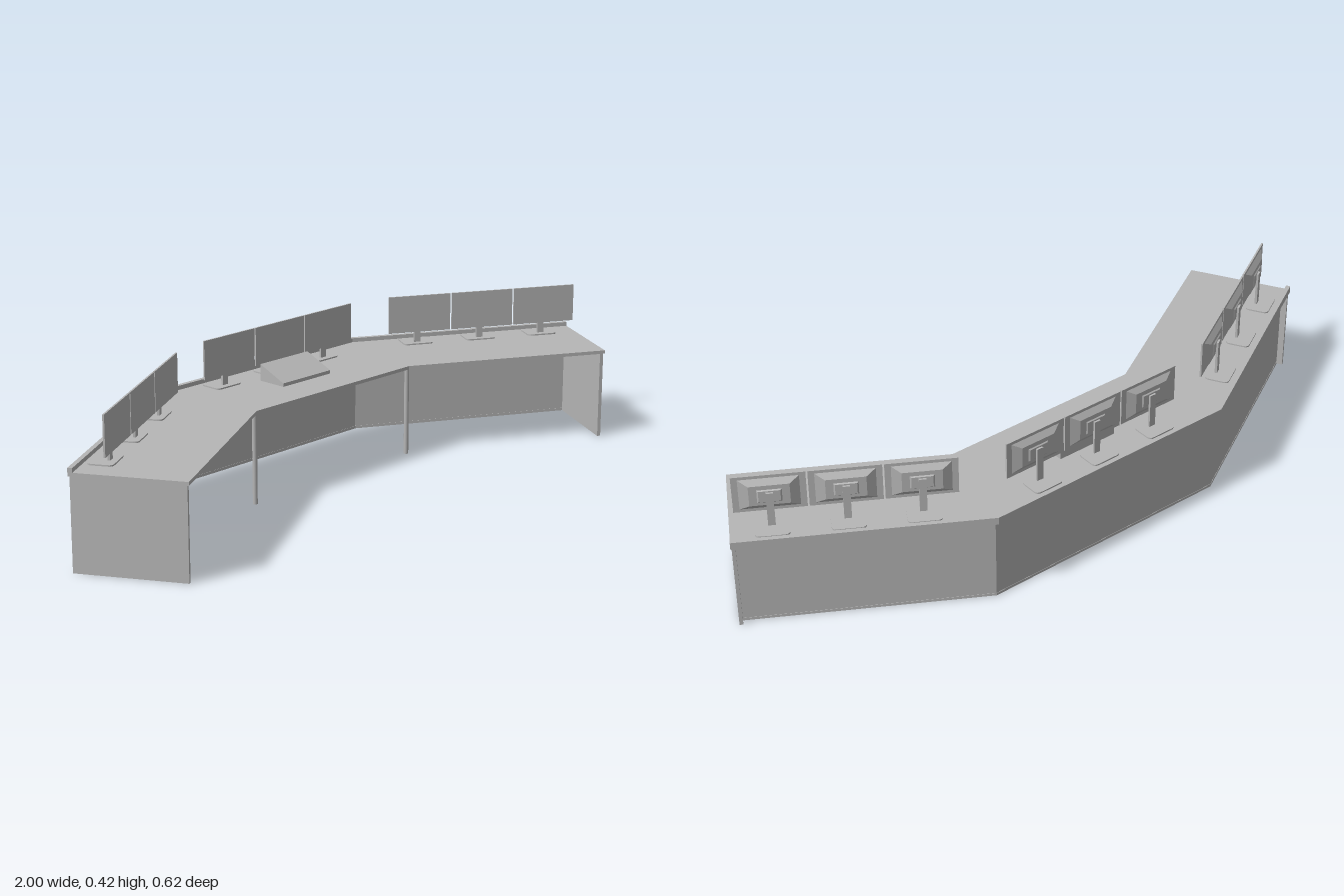
import * as THREE from 'three';

const ANGLE = Math.PI / 6, C = Math.cos(ANGLE), S = Math.sin(ANGLE), T = Math.tan(ANGLE / 2);
const HALF = 0.31, WING = 0.615;
const grey = new THREE.MeshStandardMaterial({ color: 0xb6b6b6 });
grey.name = 'plain grey';

function add(parent, name, geometry, x = 0, y = 0, z = 0) {
  const mesh = new THREE.Mesh(geometry, grey);
  mesh.name = name;
  mesh.position.set(x, y, z);
  parent.add(mesh);
  return mesh;
}

// Point on the wing's end: d = distance behind the front edge, e = inset along the wing
const wingEnd = (d, e) => [HALF + (WING - e) * C + S * d, -(WING - e) * S + C * d];

// Three-section angled strip between two depths, raised from y0 to y1
function band(d0, d1, y0, y1, e = 0) {
  const half = d => [[HALF + d * T, d], wingEnd(d, e)];
  const mirror = p => [-p[0], p[1]];
  const [a, b] = half(d0), [c, d] = half(d1);
  const pts = [mirror(b), mirror(a), a, b, d, c, mirror(c), mirror(d)];
  const shape = new THREE.Shape(pts.map(p => new THREE.Vector2(...p)));
  return new THREE.ExtrudeGeometry(shape, { depth: y1 - y0, bevelEnabled: false })
    .rotateX(-Math.PI / 2).translate(0, y0, 0);
}

// Tapered block whose back (-z) face is narrower than its front
function frustum(w, h, depth, backW, backH) {
  const g = new THREE.BoxGeometry(w, h, depth).toNonIndexed();
  const p = g.attributes.position;
  for (let i = 0; i < p.count; i++) {
    if (p.getZ(i) < 0) p.setXY(i, p.getX(i) * backW / w, p.getY(i) * backH / h);
  }
  g.computeVertexNormals();
  return g;
}

function roundedPlate(w, d, h, r) {
  const x = w / 2, y = d / 2, s = new THREE.Shape();
  s.moveTo(-x + r, -y);
  s.lineTo(x - r, -y).quadraticCurveTo(x, -y, x, -y + r);
  s.lineTo(x, y - r).quadraticCurveTo(x, y, x - r, y);
  s.lineTo(-x + r, y).quadraticCurveTo(-x, y, -x, y - r);
  s.lineTo(-x, -y + r).quadraticCurveTo(-x, -y, -x + r, -y);
  return new THREE.ExtrudeGeometry(s, { depth: h, bevelEnabled: false, curveSegments: 4 }).rotateX(-Math.PI / 2);
}

function monitor(x) {
  const g = new THREE.Group();
  g.name = 'monitor';
  g.position.x = x;
  add(g, 'screen', new THREE.BoxGeometry(0.194, 0.112, 0.005), 0, 0.364, -0.0025);
  add(g, 'backHousing', frustum(0.16, 0.094, 0.012, 0.108, 0.062), 0, 0.364, -0.011);
  add(g, 'mountPlate', frustum(0.066, 0.04, 0.003, 0.058, 0.034), 0, 0.362, -0.0185);
  add(g, 'standPole', new THREE.BoxGeometry(0.02, 0.107, 0.007), 0, 0.3215, -0.0225);
  add(g, 'standBase', roundedPlate(0.092, 0.07, 0.004, 0.014), 0, 0.268, -0.035);
  return g;
}

function monitorRow(name, x, z, turn) {
  const g = new THREE.Group();
  g.name = name;
  g.position.set(x, 0, z);
  g.rotation.y = turn;
  for (const i of [-1, 0, 1]) g.add(monitor(i * 0.199));
  return g;
}

export function createModel() {
  const model = new THREE.Group();
  model.name = 'controlDesk';

  // Worktop, raised back rim, back panel and floor rail
  add(model, 'worktop', band(0, 0.302, 0.258, 0.268));
  add(model, 'backRim', band(0.302, 0.315, 0.258, 0.28));
  add(model, 'backPanel', band(0.285, 0.293, 0.008, 0.258, 0.012));
  add(model, 'floorRail', band(0.284, 0.294, 0, 0.008, 0.012));

  // End panels and front legs
  for (const side of [-1, 1]) {
    const [x, s] = wingEnd(0.158, 0.008);
    const panel = add(model, 'endPanel', new THREE.BoxGeometry(0.01, 0.258, 0.306), side * x, 0.129, -s);
    panel.rotation.y = -side * ANGLE;
    add(model, 'frontLeg', new THREE.CylinderGeometry(0.007, 0.007, 0.258, 12), side * HALF, 0.129, -0.009);
  }

  // Three rows of monitors
  model.add(monitorRow('centreMonitors', 0, -0.219, 0));
  model.add(monitorRow('leftMonitors', 0.683, -0.038, -ANGLE));
  model.add(monitorRow('rightMonitors', -0.683, -0.038, ANGLE));

  // Sloped console on the centre desk
  const wedge = new THREE.Shape([[0.112, 0.268], [0.203, 0.268], [0.203, 0.317], [0.112, 0.278]]
    .map(p => new THREE.Vector2(...p)));
  const console3 = new THREE.ExtrudeGeometry(wedge, { depth: 0.19, bevelEnabled: false })
    .translate(0, 0, -0.095).rotateY(Math.PI / 2);
  add(model, 'slopedConsole', console3);

  return model;
}
